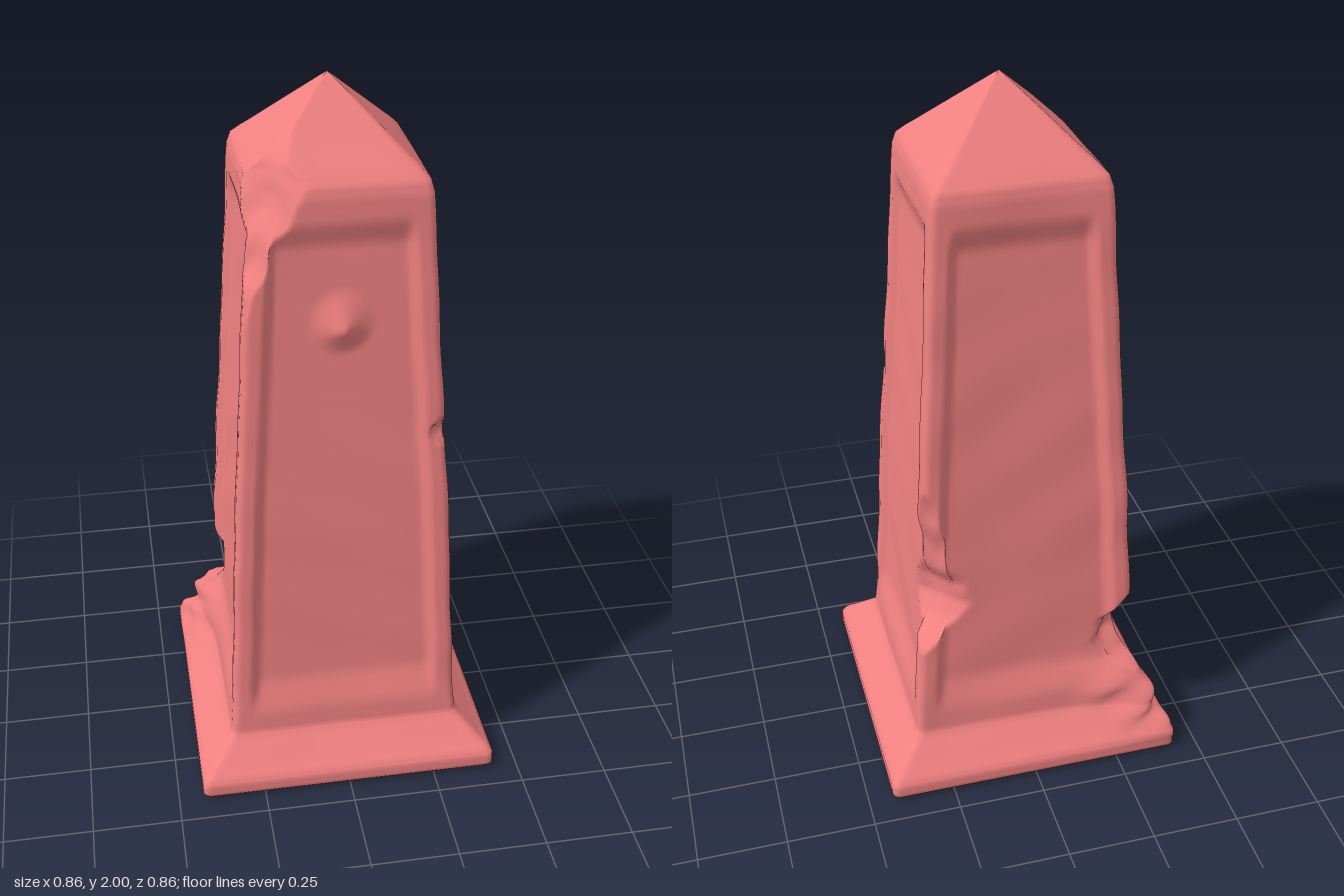
import * as THREE from 'three';

const N = 52; // columns per side
const step = THREE.MathUtils.smoothstep;

// Linear lookup in a list of [y, value] pairs
function lookup(table, y, outside) {
  if (y < table[0][0] || y > table[table.length - 1][0]) return outside;
  for (let i = 1; i < table.length; i++) {
    const [y0, v0] = table[i - 1], [y1, v1] = table[i];
    if (y <= y1) return v0 + (v1 - v0) * (y - y0) / (y1 - y0);
  }
  return outside;
}

// Half width by height, with rows for the stretch up to each point: [y, half width, rows]
const profile = [
  [0, 0.42, 0], [0.012, 0.43, 2], [0.045, 0.43, 3], [0.062, 0.42, 3], [0.08, 0.4, 3],
  [0.135, 0.345, 7], [0.152, 0.333, 3], [0.3, 0.322, 14], [0.8, 0.299, 42], [1.2, 0.272, 26],
  [1.75, 0.238, 44], [1.78, 0.23, 3], [1.805, 0.207, 3], [1.988, 0.014, 18], [2, 0.0005, 2],
];

// Broken corners: the furthest reach along the diagonal at each height
const chips = [
  { sx: 1, sz: -1, reach: [[0.4, 0.46], [0.46, 0.41], [0.51, 0.35], [0.56, 0.32], [0.62, 0.322], [0.67, 0.345], [0.75, 0.36], [0.86, 0.375], [1, 0.42]] },
  { sx: -1, sz: 1, reach: [[1.42, 0.37], [1.52, 0.335], [1.6, 0.302], [1.68, 0.268], [1.75, 0.24], [1.82, 0.22], [1.9, 0.15]] },
  { sx: -1, sz: -1, reach: [[0.23, 0.5], [0.29, 0.4], [0.35, 0.35], [0.42, 0.36], [0.47, 0.41], [0.55, 0.45]] },
  { sx: 1, sz: 1, reach: [[1.03, 0.4], [1.07, 0.36], [1.1, 0.365], [1.13, 0.4]] },
];

// Rubble heaped against one foot corner: outward push by height
const rubble = [[0.04, 0], [0.08, 0.03], [0.13, 0.065], [0.2, 0.06], [0.25, 0.025], [0.29, 0]];

const wear = (x, y, z) =>
  Math.sin(x * 17 + y * 9) * Math.sin(z * 15 - y * 7 + 1) * 0.6 + Math.sin(y * 23 + x * 11 - z * 13) * 0.4;

// Point on one side at column parameter s (-1..1), in the side's own frame
function sidePoint(side, s, y, w) {
  const u = Math.sin(s * Math.PI / 2);
  const r = Math.min(0.022, w * 0.12);
  let x = u * w, z = w;

  // rounded corner
  const cx = THREE.MathUtils.clamp(x, r - w, w - r);
  const len = Math.hypot(x - cx, r);
  x = cx + (x - cx) * r / len;
  z = w - r + r * r / len;

  // sunken panel
  const inset = w * (1 - Math.abs(u));
  const mask = step(inset, 0.05, 0.078) * step(y, 0.2, 0.33) * (1 - step(y, 1.61, 1.7));
  z -= 0.023 * mask;

  // boss high on the front
  if (side === 0) {
    const d = Math.hypot(x, (y - 1.4) * (y < 1.4 ? 1.1 : 0.8));
    z += 0.04 * Math.pow(Math.max(0, 1 - d / 0.085), 1.4);
  }

  for (let k = 0; k < side; k++) [x, z] = [z, -x];
  return [x, z];
}

function damage(x, y, z) {
  for (const { sx, sz, reach } of chips) {
    const d = (x * sx + z * sz) * Math.SQRT1_2;
    const limit = lookup(reach, y, 9) + 0.008 * wear(x * 2, y * 2, z * 2);
    if (d > limit) {
      x -= sx * (d - limit) * Math.SQRT1_2;
      z -= sz * (d - limit) * Math.SQRT1_2;
    }
  }
  if (x < 0 && z < 0) {
    const t = (x - z) * Math.SQRT1_2;
    const push = lookup(rubble, y, 0) * Math.exp(-t * t / 0.012) * (1 + 0.25 * wear(x * 3, y * 3, z * 3));
    x -= push * Math.SQRT1_2;
    z -= push * Math.SQRT1_2;
  }
  // gentle weathering, fading at the foot and the tip
  const amount = 0.003 * step(y, 0.05, 0.3) * (1 - step(y, 1.7, 1.95));
  const k = 1 + amount * wear(x, y, z) / 0.3;
  return [x * k, y, z * k];
}

function stoneGeometry() {
  const rows = [[profile[0][0], profile[0][1]]];
  for (let i = 1; i < profile.length; i++) {
    const [y0, w0] = profile[i - 1], [y1, w1, n] = profile[i];
    for (let k = 1; k <= n; k++) rows.push([y0 + (y1 - y0) * k / n, w0 + (w1 - w0) * k / n]);
  }
  const ring = 4 * N, positions = [], index = [];
  rows.forEach(([y, w], i) => {
    for (let j = 0; j < ring; j++) {
      const [x, z] = sidePoint(Math.floor(j / N), (j % N) / N * 2 - 1, y, w);
      positions.push(...damage(x, y, z));
      if (i === 0) continue;
      const a = (i - 1) * ring + j, b = (i - 1) * ring + (j + 1) % ring;
      index.push(a, b, b + ring, a, b + ring, a + ring);
    }
  });
  const geometry = new THREE.BufferGeometry();
  geometry.setAttribute('position', new THREE.Float32BufferAttribute(positions, 3));
  geometry.setIndex(index);
  geometry.computeVertexNormals();
  return geometry;
}

export function createModel() {
  const group = new THREE.Group();
  group.name = 'obelisk';
  const material = new THREE.MeshStandardMaterial({ color: 0xf08080 });

  // Foot, tapering shaft and pointed cap in one weathered surface
  const stone = new THREE.Mesh(stoneGeometry(), material);
  stone.name = 'weatheredStone';
  group.add(stone);

  // Flat underside
  const underside = new THREE.Mesh(new THREE.PlaneGeometry(0.84, 0.84), material);
  underside.rotation.x = Math.PI / 2;
  underside.name = 'underside';
  group.add(underside);
  return group;
}
